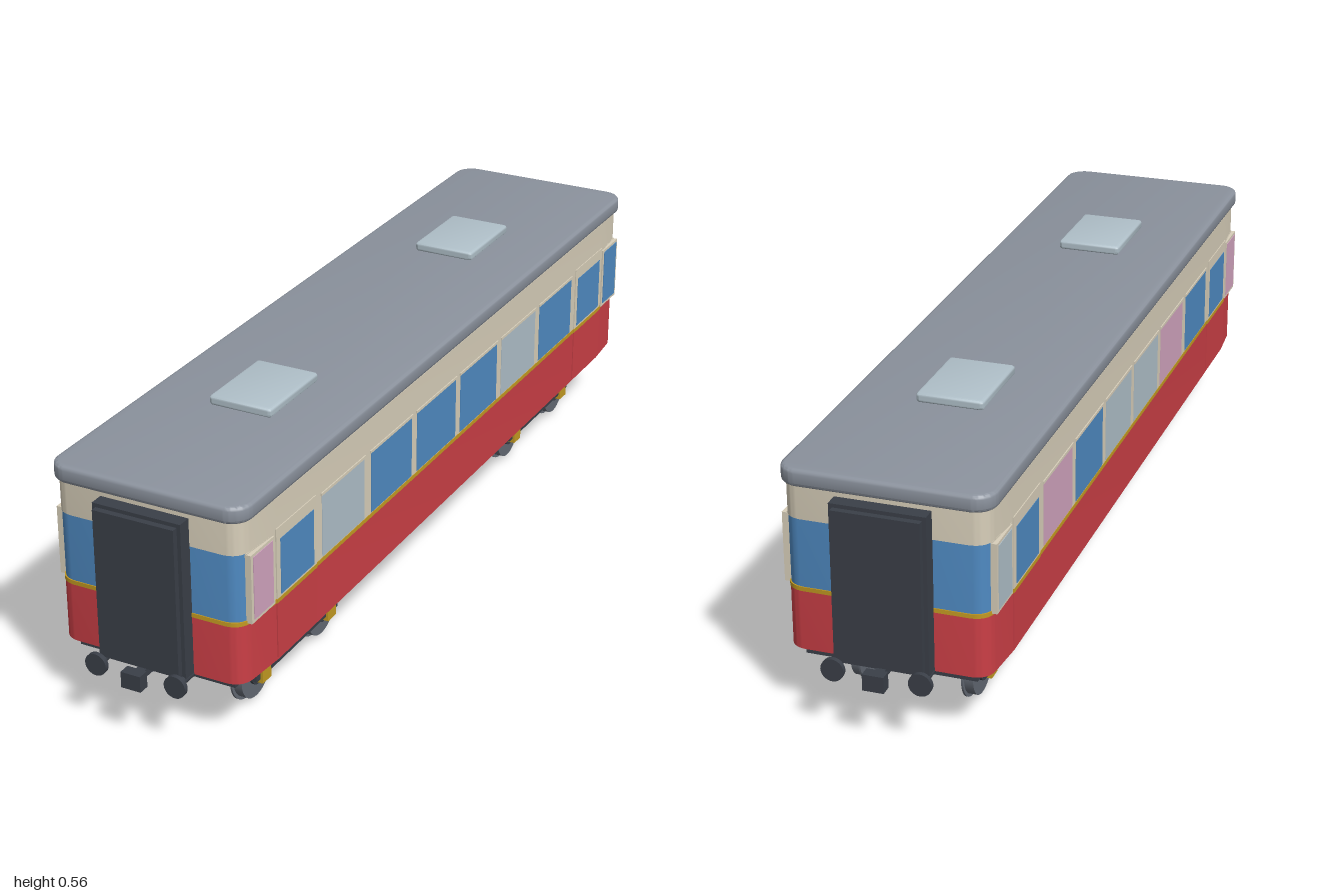
import * as THREE from 'three';
import { toCreasedNormals } from 'three/addons/utils/BufferGeometryUtils.js';

const mat = (name, color) => {
  const m = new THREE.MeshStandardMaterial({ color });
  m.name = name;
  return m;
};

export function createModel() {
  const M = {
    red: mat('red paint', 0xcb3f46),
    gold: mat('gold', 0xc39a22),
    cream: mat('cream paint', 0xd8cfba),
    blue: mat('blue glass', 0x4f8ac2),
    pink: mat('pink glass', 0xd2a5bf),
    pale: mat('pale glass', 0xb0c0c9),
    roof: mat('roof grey', 0x8b929d),
    dark: mat('dark iron', 0x3a3f48),
    steel: mat('wheel steel', 0x636973),
  };
  const model = new THREE.Group();
  model.name = 'railwayCarriage';

  const add = (parent, name, geo, material, x = 0, y = 0, z = 0) => {
    const mesh = new THREE.Mesh(geo, material);
    mesh.name = name;
    mesh.position.set(x, y, z);
    parent.add(mesh);
    return mesh;
  };
  // Box given by its limits on each axis
  const box = (parent, name, material, x0, x1, y0, y1, z0, z1) =>
    add(parent, name, new THREE.BoxGeometry(x1 - x0, y1 - y0, z1 - z0), material,
      (x0 + x1) / 2, (y0 + y1) / 2, (z0 + z1) / 2);
  const rod = (parent, name, material, r, len, axis, x, y, z, sides = 32) => {
    const g = new THREE.CylinderGeometry(r, r, len, sides);
    if (axis === 'x') g.rotateZ(Math.PI / 2); else g.rotateX(Math.PI / 2);
    return add(parent, name, g, material, x, y, z);
  };

  // Plan outline: straight sides that taper a little before rounded corners
  const outline = (grow = 0) => {
    const w = 0.216 + grow, e = 0.209 + grow, l = 0.925 + grow, r = 0.038;
    const s = new THREE.Shape();
    s.moveTo(w, -0.8);
    s.lineTo(w, 0.8);
    s.lineTo(e, l - r);
    s.quadraticCurveTo(e - 0.003, l - 0.003, e - r, l);
    s.lineTo(r - e, l);
    s.quadraticCurveTo(0.003 - e, l - 0.003, -e, l - r);
    s.lineTo(-w, 0.8);
    s.lineTo(-w, -0.8);
    s.lineTo(-e, r - l);
    s.quadraticCurveTo(0.003 - e, 0.003 - l, r - e, -l);
    s.lineTo(e - r, -l);
    s.quadraticCurveTo(e - 0.003, 0.003 - l, e, r - l);
    return s;
  };
  const slab = (name, shape, material, y0, y1, bevel = 0) => {
    const g = new THREE.ExtrudeGeometry(shape, {
      depth: y1 - y0 - 2 * bevel, curveSegments: 10, bevelEnabled: bevel > 0,
      bevelThickness: bevel, bevelSize: bevel, bevelOffset: -bevel, bevelSegments: 3,
    });
    g.rotateX(-Math.PI / 2);
    return add(model, name, toCreasedNormals(g, 0.6), material, 0, y0 + bevel, 0);
  };
  const rounded = (w, l, r) => {
    const s = new THREE.Shape();
    s.moveTo(w, r - l);
    s.lineTo(w, l - r);
    s.absarc(w - r, l - r, r, 0, Math.PI / 2);
    s.absarc(r - w, l - r, r, Math.PI / 2, Math.PI);
    s.absarc(r - w, r - l, r, Math.PI, Math.PI * 1.5);
    s.absarc(w - r, r - l, r, Math.PI * 1.5, Math.PI * 2);
    return s;
  };

  // Body in horizontal bands, with glass wrapping round both ends
  slab('lowerBody', outline(), M.red, 0.148, 0.276);
  slab('waistStripe', outline(0.001), M.gold, 0.276, 0.285);
  slab('endWindows', outline(-0.001), M.blue, 0.285, 0.43);
  slab('upperBody', outline(), M.cream, 0.43, 0.502);
  const sides = new THREE.Shape([[0.216, -0.8], [0.216, 0.8], [0.2085, 0.9], [-0.2085, 0.9],
    [-0.216, 0.8], [-0.216, -0.8], [-0.2085, -0.9], [0.2085, -0.9]].map(p => new THREE.Vector2(...p)));
  slab('sideWindowBand', sides, M.cream, 0.285, 0.43);
  slab('roof', rounded(0.218, 0.933, 0.045), M.roof, 0.5, 0.536, 0.008);
  box(model, 'underframe', M.dark, -0.178, 0.178, 0.128, 0.149, -0.905, 0.905);

  // Roof hatches
  for (const z of [0.465, -0.465]) {
    const hatch = slab('roofHatch', rounded(0.072, 0.1, 0.008), M.pale, 0.535, 0.556, 0.007);
    hatch.position.z = z;
  }

  // Side windows from front to back: start, end, glass on the left, glass on the right
  const windows = [
    [0.62, 0.44, 'pale', 'blue'], [0.41, 0.225, 'blue', 'pink'], [0.2, 0.012, 'blue', 'pale'],
    [-0.012, -0.2, 'blue', 'pale'], [-0.225, -0.41, 'pale', 'blue'], [-0.435, -0.62, 'blue', 'pink'],
  ];
  for (const s of [1, -1]) {
    const side = new THREE.Group();
    side.name = s > 0 ? 'leftSide' : 'rightSide';
    model.add(side);
    // Thin plate between two distances from the middle line
    const plate = (name, m, x0, x1, y0, y1, z0, z1) =>
      box(side, name, m, Math.min(s * x0, s * x1), Math.max(s * x0, s * x1), y0, y1, z0, z1);

    for (const [z1, z0, left, right] of windows) {
      plate('sideWindow', M[s > 0 ? left : right], 0.212, 0.217, 0.287, 0.425, z0, z1);
      plate('windowTopRail', M.cream, 0.212, 0.2185, 0.425, 0.431, z0 - 0.004, z1 + 0.004);
    }
    for (const e of [1, -1]) {
      const span = (a, b) => (e > 0 ? [a, b] : [-b, -a]);
      // Flat doors
      plate('doorLower', M.red, 0.21, 0.218, 0.155, 0.276, ...span(0.645, 0.805));
      plate('doorStripe', M.gold, 0.21, 0.2185, 0.276, 0.285, ...span(0.645, 0.805));
      plate('doorUpper', M.cream, 0.21, 0.218, 0.285, 0.438, ...span(0.645, 0.805));
      plate('doorWindow', M.blue, 0.216, 0.219, 0.29, 0.412, ...span(0.658, 0.79));
      // Small framed windows beside the doors
      const glass = s > 0 ? (e > 0 ? M.pink : M.blue) : (e > 0 ? M.pink : M.pale);
      plate('smallWindowFrame', M.cream, 0.205, 0.218, 0.28, 0.428, ...span(0.812, 0.902));
      plate('smallWindow', glass, 0.215, 0.2195, 0.287, 0.422, ...span(0.82, 0.894));
    }
  }

  // Ends: gangway, buffers and coupling
  for (const turn of [0, Math.PI]) {
    const end = new THREE.Group();
    end.name = turn ? 'backEnd' : 'frontEnd';
    end.rotation.y = turn;
    model.add(end);
    box(end, 'gangwayFrame', M.dark, -0.098, 0.098, 0.15, 0.49, 0.915, 0.955);
    box(end, 'gangwayBellows', M.dark, -0.09, 0.09, 0.16, 0.482, 0.95, 0.968);
    for (const x of [-0.09, 0.09]) {
      rod(end, 'bufferStem', M.dark, 0.009, 0.09, 'z', x, 0.148, 0.93, 16);
      rod(end, 'bufferHead', M.dark, 0.024, 0.01, 'z', x, 0.148, 0.98);
    }
    box(end, 'couplingBar', M.dark, -0.01, 0.01, 0.135, 0.152, 0.89, 0.975);
    box(end, 'couplingHead', M.dark, -0.022, 0.022, 0.125, 0.16, 0.975, 1.0);
  }

  // Bogies: frame, wheels, axles and bearing boxes
  for (const zc of [0.606, -0.606]) {
    const bogie = new THREE.Group();
    bogie.name = 'bogie';
    bogie.position.z = zc;
    model.add(bogie);
    box(bogie, 'bolster', M.dark, -0.15, 0.15, 0.082, 0.1, -0.03, 0.03);
    for (const s of [1, -1]) {
      box(bogie, 'sideFrame', M.dark, s * 0.1425 - 0.0075, s * 0.1425 + 0.0075, 0.06, 0.086, -0.17, 0.17);
    }
    for (const z of [0.137, -0.137]) {
      rod(bogie, 'axle', M.dark, 0.009, 0.29, 'x', 0, 0.065, z, 16);
      for (const s of [1, -1]) {
        rod(bogie, 'wheelFlange', M.steel, 0.065, 0.004, 'x', s * 0.109, 0.065, z);
        rod(bogie, 'wheelTread', M.steel, 0.058, 0.02, 'x', s * 0.12, 0.065, z);
        rod(bogie, 'wheelHub', M.dark, 0.028, 0.008, 'x', s * 0.132, 0.065, z, 20);
        box(bogie, 'bearingBox', M.gold, s * 0.1465 - 0.0085, s * 0.1465 + 0.0085, 0.05, 0.08, z - 0.017, z + 0.017);
      }
    }
  }
  return model;
}
